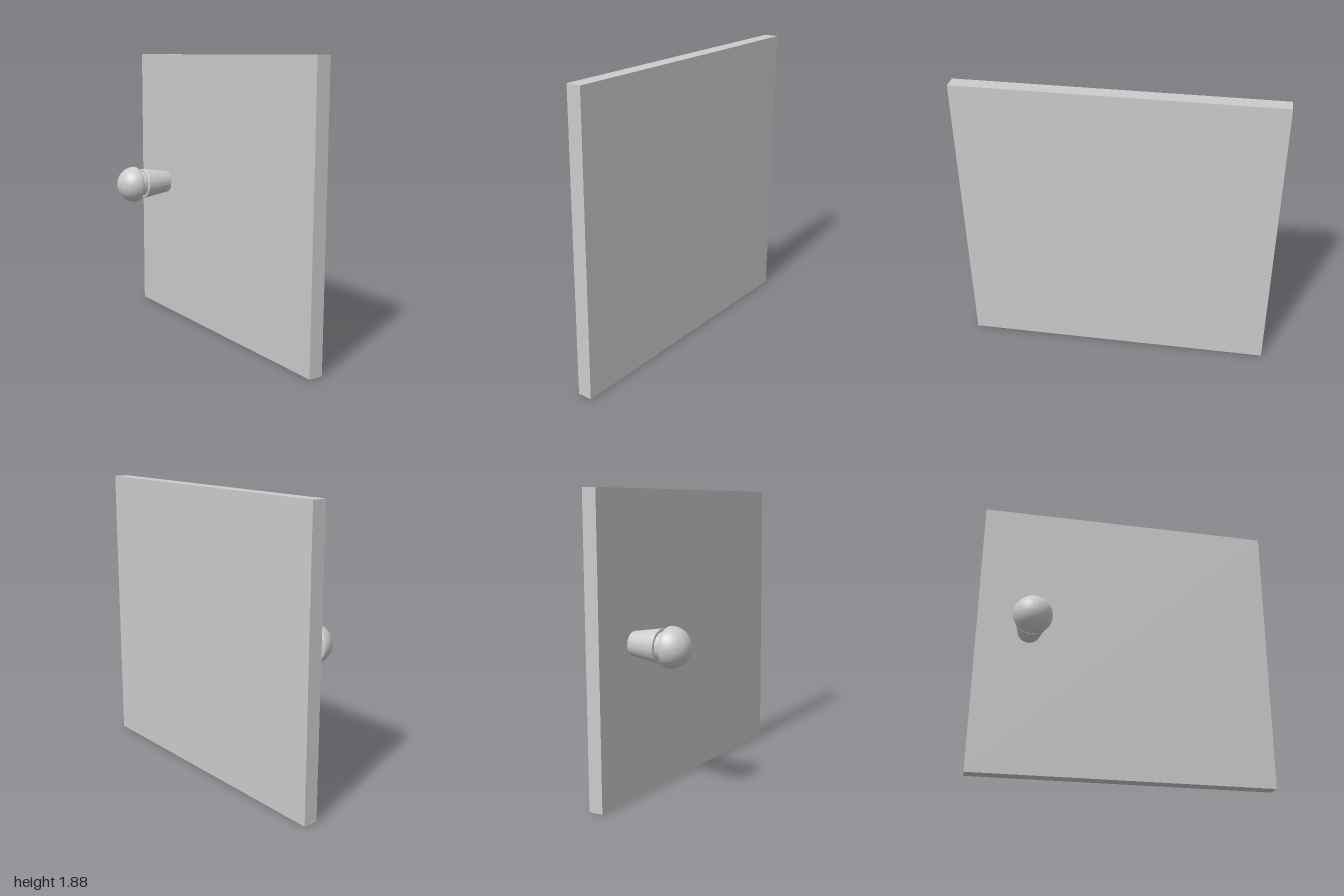
import * as THREE from 'three';
import { toCreasedNormals } from 'three/addons/utils/BufferGeometryUtils.js';

const material = new THREE.MeshStandardMaterial({ color: 0xcccccc });

// Knob profile: x is the radius, y the distance out from the panel
function knobProfile() {
  const p = new THREE.Path();
  p.moveTo(0, 0);
  p.lineTo(0.076, 0); // foot of the tapered shank
  p.lineTo(0.105, 0.187);
  p.quadraticCurveTo(0.106, 0.197, 0.097, 0.197); // rounded shoulder
  p.lineTo(0.086, 0.197);
  p.lineTo(0.086, 0.245); // neck
  p.lineTo(0.114, 0.245);
  p.quadraticCurveTo(0.125, 0.245, 0.125, 0.26); // rounded rim
  p.absarc(0, 0.26, 0.125, 0, Math.PI / 2, false); // domed cap
  return p.getPoints(14);
}

export function createModel() {
  const model = new THREE.Group();

  // Flat square panel
  const panel = new THREE.Mesh(new THREE.BoxGeometry(0.095, 1.88, 2), material);
  panel.name = 'panel';
  panel.position.set(0.1925, 0.94, 0);
  model.add(panel);

  // Turned pull knob, pointing out to -x
  const turned = new THREE.LatheGeometry(knobProfile(), 64);
  const knob = new THREE.Mesh(toCreasedNormals(turned, 0.6), material);
  knob.name = 'knob';
  knob.rotation.z = Math.PI / 2;
  knob.position.set(0.145, 0.963, -0.656);
  model.add(knob);

  return model;
}
